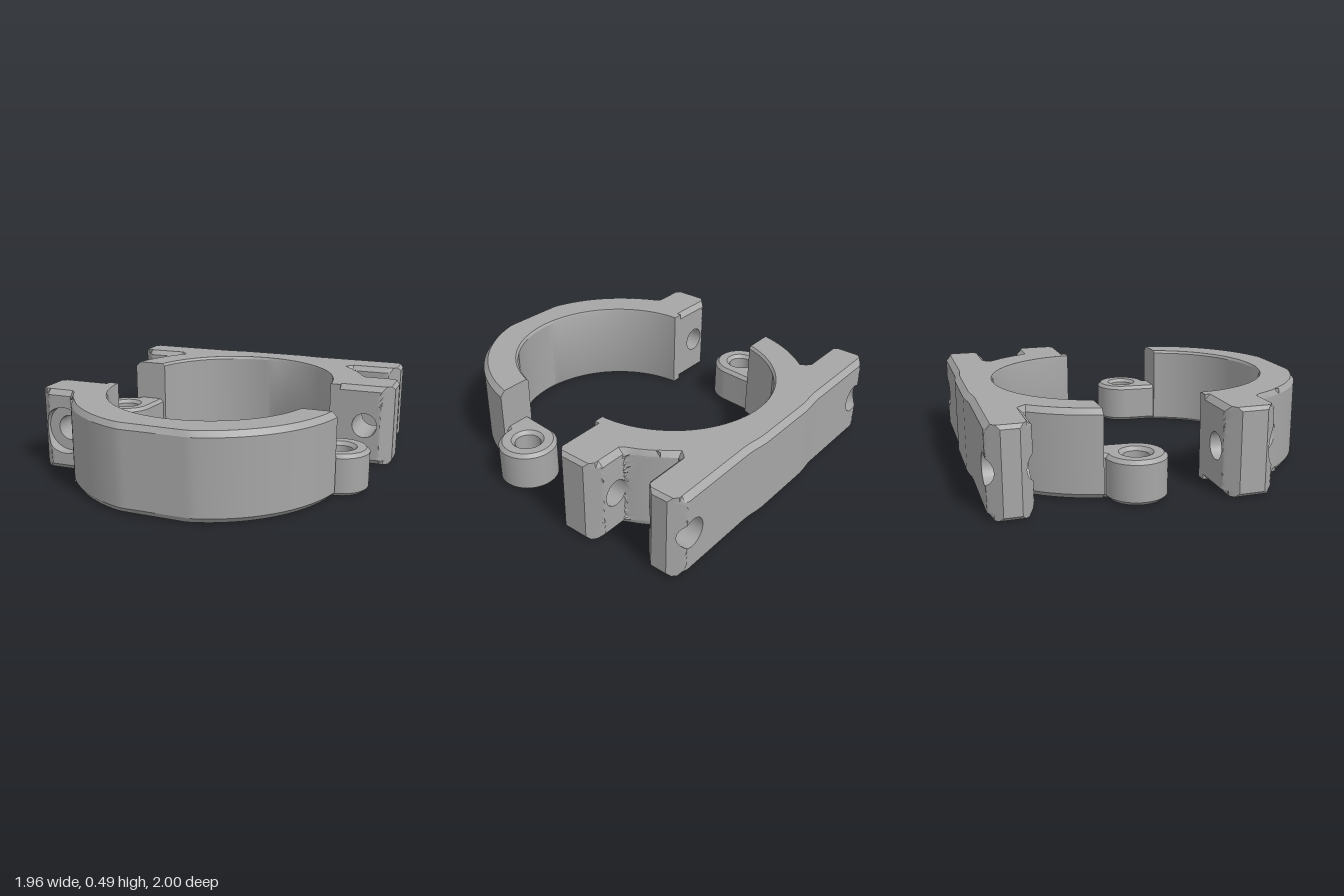
import * as THREE from 'three';
import { toCreasedNormals } from 'three/addons/utils/BufferGeometryUtils.js';

const H = 0.485, C = 0.03;            // body height, small edge chamfer
const CZ = 0.22, RI = 0.6, RO = 0.805; // ring centre and radii
const HOLE_X = 0.815, SEAM = 0.66;

// Skin a list of equal-length closed cross-sections
function skin(loops, closed) {
  const pos = [];
  const tri = (a, b, c) => {
    const t = new THREE.Triangle(a, b, c);
    if (t.getArea() > 1e-8) for (const p of [a, b, c]) pos.push(p.x, p.y, p.z);
  };
  const n = loops[0].length;
  for (let i = 0; i < loops.length - (closed ? 0 : 1); i++) {
    const A = loops[i], B = loops[(i + 1) % loops.length];
    for (let j = 0; j < n; j++) {
      const k = (j + 1) % n;
      tri(A[j], A[k], B[k]);
      tri(A[j], B[k], B[j]);
    }
  }
  if (!closed) {
    const s = loops[0], e = loops[loops.length - 1];
    for (let j = 1; j < n - 1; j++) {
      tri(s[0], s[j + 1], s[j]);
      tri(e[0], e[j], e[j + 1]);
    }
  }
  const g = new THREE.BufferGeometry();
  g.setAttribute('position', new THREE.Float32BufferAttribute(pos, 3));
  return toCreasedNormals(g, 0.5);
}

// Wall running through stations {i: inner [x,z], o: outer [x,z], c, ci: chamfers}
function wall(stations) {
  return skin(stations.map(({ i, o, c, ci }) => {
    const a = new THREE.Vector2(...i), b = new THREE.Vector2(...o);
    const d = b.clone().sub(a).normalize();
    const ai = a.clone().addScaledVector(d, ci), bi = b.clone().addScaledVector(d, -c);
    return [[a, H - ci], [ai, H], [bi, H], [b, H - c], [b, c], [bi, 0], [ai, 0], [a, ci]]
      .map(([p, y]) => new THREE.Vector3(p.x, y, p.y));
  }), false);
}

// Chamfered block pierced along z; front(x) and back(x) give its two faces
function holedBlock({ xIn, xEnd, hx, r, front, back, bore, floor }) {
  const s = Math.sign(xEnd), cut = 0.02, N = 12;
  let corners = [[xIn, 0], [xEnd - s * cut, 0], [xEnd, cut], [xEnd, H - cut], [xEnd - s * cut, H], [xIn, H]];
  if (s > 0) corners.reverse(); // always clockwise
  const rim = [];
  corners.forEach((p, k) => {
    const q = corners[(k + 1) % corners.length];
    for (let j = 0; j < N; j++) rim.push([p[0] + (q[0] - p[0]) * j / N, p[1] + (q[1] - p[1]) * j / N]);
  });
  const inset = rim.map(([x, y]) => [x, Math.min(H - C, Math.max(C, y))]);
  const circle = (R) => rim.map(([x, y]) => {
    const a = Math.atan2(y - H / 2, x - hx);
    return [hx + R * Math.cos(a), H / 2 + R * Math.sin(a)];
  });
  const drop = (x, y) => Math.max(0, Math.abs(x) - (Math.abs(xEnd) - 0.07), C - y, y - (H - C));
  const zf = (x, y) => front(x) - drop(x, y), zb = (x, y) => back(x) + drop(x, y);
  const place = (pts, z) => pts.map(([x, y]) => new THREE.Vector3(x, y, z(x, y)));
  const face = (R, z) => {
    const c = circle(R), out = [];
    for (let k = 0; k <= 10; k++) {
      out.push(place(c.map((p, j) => [p[0] + (inset[j][0] - p[0]) * k / 10, p[1] + (inset[j][1] - p[1]) * k / 10]), z));
    }
    out.push(place(rim, z));
    return out;
  };
  const recess = bore ? [place(circle(r), () => floor), place(circle(bore), () => floor)] : [];
  return skin([...recess, ...face(bore || r, zf), ...face(r, zb).reverse()], true);
}

export function createModel() {
  const model = new THREE.Group();
  model.name = 'hingedPipeClamp';
  const grey = new THREE.MeshStandardMaterial({ color: 0xa6a6a6 });
  grey.name = 'plain grey';
  const add = (parent, name, geo) => {
    const m = new THREE.Mesh(geo, grey);
    m.name = name;
    parent.add(m);
  };

  // One clamp half: curved jaw, bolt ear at -x and hinge knuckle at +x
  function clampHalf(name, bore) {
    const half = new THREE.Group();
    half.name = name;
    const at = (R, a) => [-R * Math.cos(a), Math.min(1, CZ + R * Math.sin(a))];

    const i0 = 0.025, i1 = Math.PI - 0.287, o0 = Math.acos(SEAM / RO), o1 = Math.PI - 0.213;
    const st = [
      { i: at(RI, i0), o: [-SEAM, 0.235], c: 0, ci: 0 },
      { i: at(RI, i0), o: at(RO, o0), c: 0, ci: 0 },
    ];
    for (let k = 0; k <= 64; k++) {
      const t = k / 64;
      st.push({ i: at(RI, i0 + (i1 - i0) * t), o: at(RO, o0 + (o1 - o0) * t), c: C, ci: 0.015 });
    }
    add(half, 'jaw', wall(st));

    add(half, 'boltEar', holedBlock({
      xIn: -SEAM, xEnd: -0.98, hx: -HOLE_X, r: 0.075, bore, floor: 0.45,
      front: (x) => Math.max(0.52, CZ + Math.sqrt(Math.max(0, RO * RO - x * x))),
      back: () => 0.235,
    }));

    // Half-height knuckle with a pin hole
    const b = 0.02, kx = 0.77, kz = 0.212;
    const shape = new THREE.Shape();
    shape.moveTo(0.75, 0.42);
    shape.lineTo(kx, kz + 0.165);
    shape.absarc(kx, kz, 0.165, Math.PI / 2, -Math.PI, true);
    shape.lineTo(0.59, 0.42);
    shape.closePath();
    const pin = new THREE.Path();
    pin.absarc(kx, kz, 0.073, 0, Math.PI * 2, false);
    shape.holes.push(pin);
    const geo = new THREE.ExtrudeGeometry(shape, {
      depth: 0.24 - 2 * b, bevelSize: b, bevelThickness: b, bevelOffset: -b, bevelSegments: 1, curveSegments: 32,
    });
    geo.rotateX(Math.PI / 2).translate(0, 0.24 - b, 0);
    add(half, 'hingeKnuckle', toCreasedNormals(geo, 0.5));
    model.add(half);
    return half;
  }

  clampHalf('frontHalf', 0.14);
  const rear = clampHalf('rearHalf', 0);
  rear.rotation.y = Math.PI;
  rear.position.z = 0.02;

  // Mounting plate behind the rear jaw, blended into it
  const plate = new THREE.Group();
  plate.name = 'mountingPlate';
  const frontZ = (x) => {
    const a = Math.abs(x);
    if (a <= 0.5) return -0.2 - Math.sqrt(0.49 - a * a);
    return a < 0.57 ? -0.68 : a < 0.61 ? -0.73 : -0.75;
  };
  const backZ = (x) => -0.985 - 0.015 * Math.min(1, Math.max(0, (0.32 - Math.abs(x)) / 0.1));
  const xs = [SEAM, 0.62, 0.6, 0.56];
  for (let k = 10; k >= -10; k--) xs.push(k * 0.05);
  xs.push(-0.56, -0.6, -0.62, -SEAM);
  add(plate, 'plateCentre', wall(xs.map((x) => ({ i: [x, frontZ(x)], o: [x, backZ(x)], c: C, ci: C }))));
  for (const s of [1, -1]) {
    add(plate, s > 0 ? 'leftPlateWing' : 'rightPlateWing', holedBlock({
      xIn: s * SEAM, xEnd: s * 0.925, hx: s * 0.81, r: 0.083,
      front: () => -0.75, back: () => -0.985,
    }));
  }
  model.add(plate);
  return model;
}
